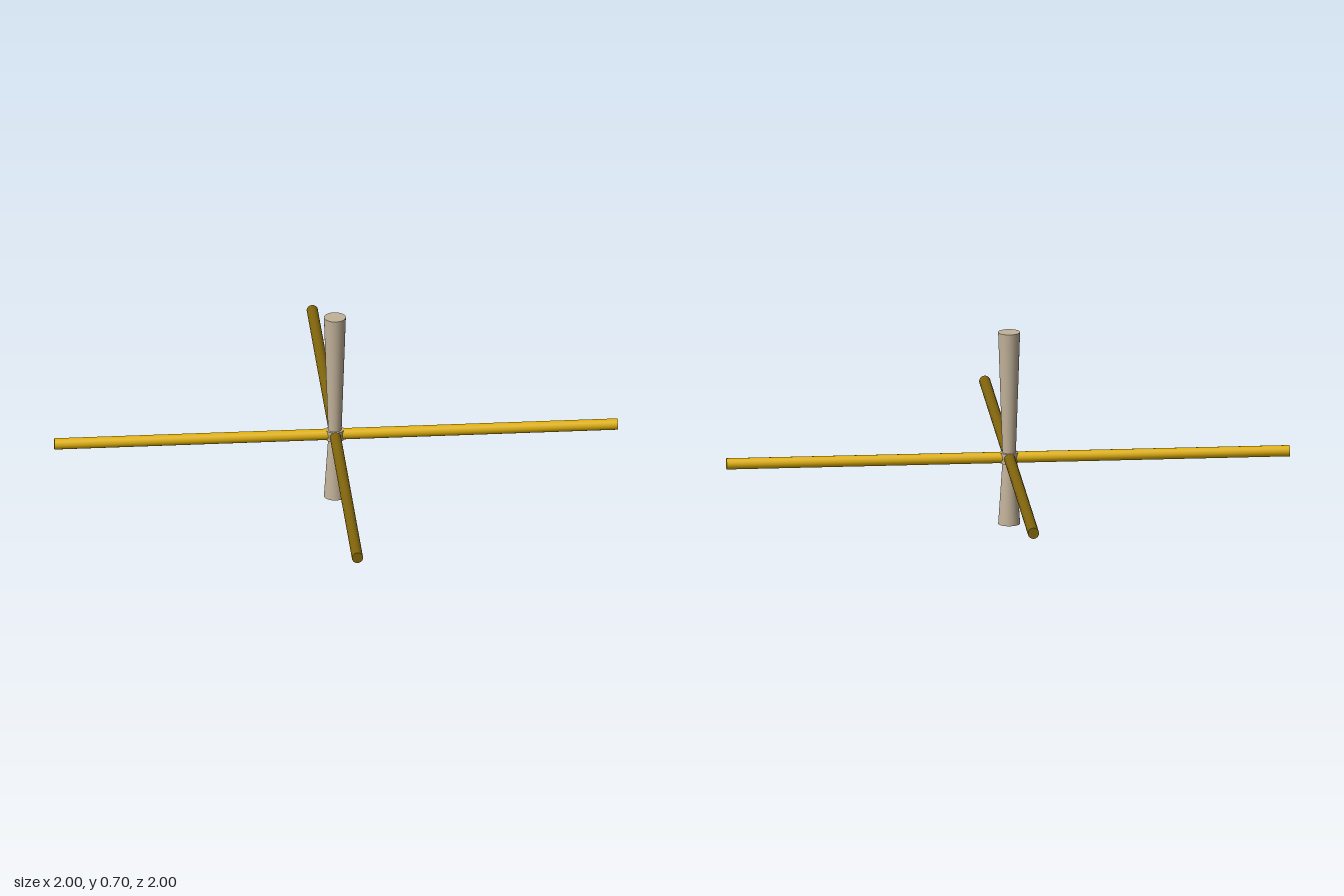
import * as THREE from 'three';

export function createModel() {
  const group = new THREE.Group();
  const postMat = new THREE.MeshStandardMaterial({ name: 'stone beige', color: 0xc2b29a });
  const yellowMat = new THREE.MeshStandardMaterial({ name: 'golden yellow', color: 0xe2b20a });
  const brownMat = new THREE.MeshStandardMaterial({ name: 'dark ochre', color: 0x80640c });

  const barY = 0.243, barRadius = 0.02, hubRadius = 0.032, axisX = -0.004;

  function add(name, geometry, material, x, y, z) {
    const mesh = new THREE.Mesh(geometry, material);
    mesh.name = name;
    mesh.position.set(x, y, z);
    group.add(mesh);
    return mesh;
  }

  // Post: two tapers meeting at a short hub
  const lowTop = barY - 0.019, highBottom = barY + 0.019, top = 0.703;
  add('lowerPost', new THREE.CylinderGeometry(0.024, 0.039, lowTop, 24), postMat, axisX, lowTop / 2, 0);
  add('hub', new THREE.CylinderGeometry(hubRadius, hubRadius, highBottom - lowTop, 24), postMat, axisX, barY, 0);
  add('upperPost', new THREE.CylinderGeometry(0.039, 0.024, top - highBottom, 24), postMat, axisX, (top + highBottom) / 2, 0);

  // Four round bars reaching out from the hub
  const inner = 0.025;
  for (const side of [-1, 1]) {
    const end = side, start = axisX + side * inner;
    const barX = new THREE.CylinderGeometry(barRadius, barRadius, Math.abs(end - start), 16).rotateZ(Math.PI / 2);
    add(side > 0 ? 'leftBar' : 'rightBar', barX, yellowMat, (start + end) / 2, barY, 0);
    const barZ = new THREE.CylinderGeometry(barRadius, barRadius, 1 - inner, 16).rotateX(Math.PI / 2);
    add(side > 0 ? 'frontBar' : 'backBar', barZ, brownMat, axisX, barY, side * (1 + inner) / 2);
  }
  return group;
}
